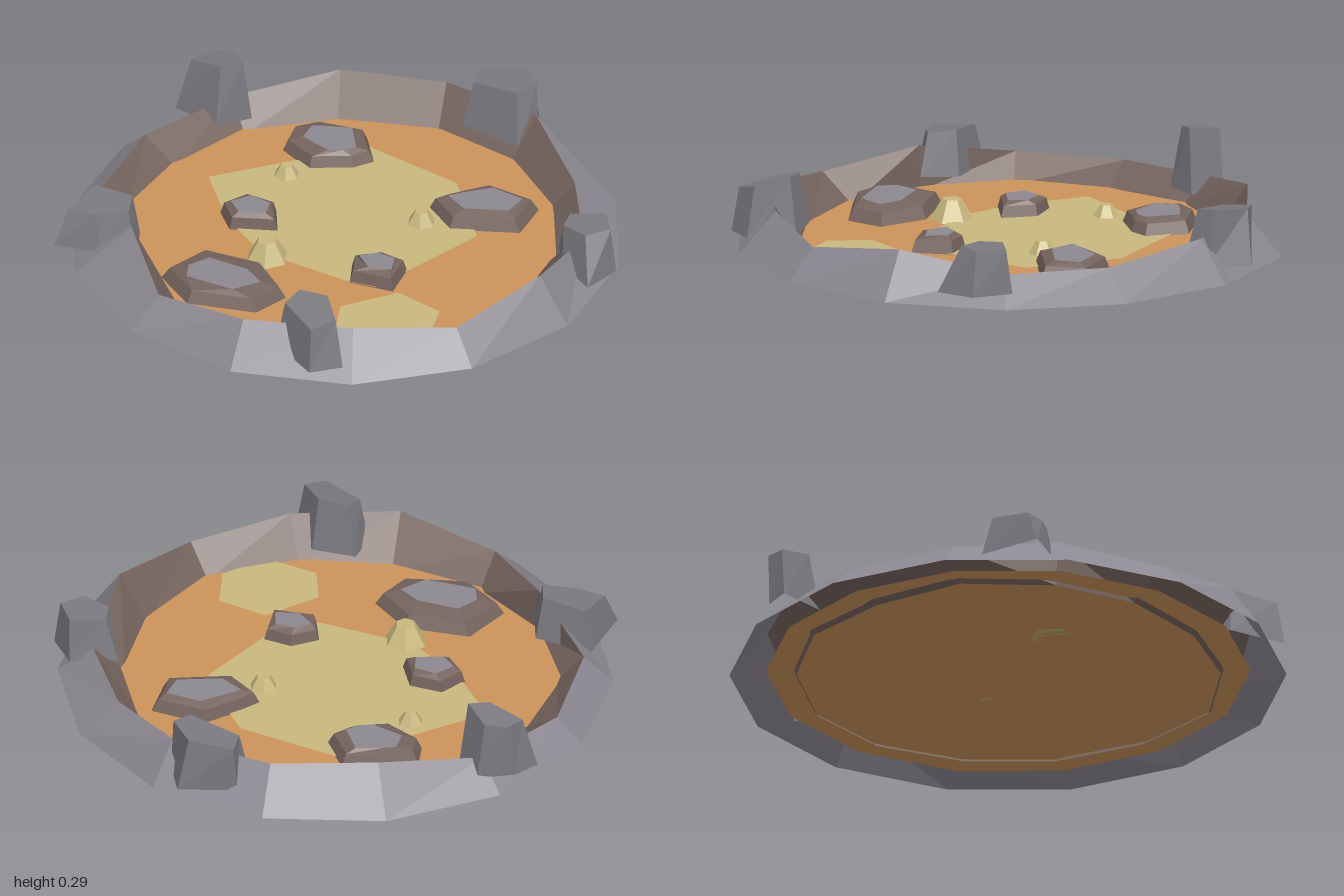
import * as THREE from 'three';

const mat = (name, color, side = THREE.FrontSide) => {
  const m = new THREE.MeshStandardMaterial({ color, side });
  m.name = name;
  return m;
};

// Flat-faced skin through matching rings of [x, y, z], optionally capped on top
function loft(rings, cap) {
  const pos = [];
  for (let k = 0; k + 1 < rings.length; k++) {
    const a = rings[k], b = rings[k + 1], n = a.length;
    for (let i = 0; i < n; i++) {
      const j = (i + 1) % n;
      pos.push(...a[i], ...b[i], ...a[j], ...a[j], ...b[i], ...b[j]);
    }
  }
  if (cap) {
    const t = rings[rings.length - 1], n = t.length;
    const c = [0, 1, 2].map(k => t.reduce((s, p) => s + p[k], 0) / n);
    for (let i = 0; i < n; i++) pos.push(...c, ...t[(i + 1) % n], ...t[i]);
  }
  const g = new THREE.BufferGeometry();
  g.setAttribute('position', new THREE.Float32BufferAttribute(pos, 3));
  g.computeVertexNormals();
  return g;
}

// Lay flat [x, z] points at a height, optionally shrunk around their middle
function lay(points, y, scale = 1) {
  const cx = points.reduce((s, p) => s + p[0], 0) / points.length;
  const cz = points.reduce((s, p) => s + p[1], 0) / points.length;
  return points.map(([x, z]) => [cx + (x - cx) * scale, y, cz + (z - cz) * scale]);
}

export function createModel() {
  const root = new THREE.Group();
  root.name = 'rockPool';
  const rimGrey = mat('rim grey', 0x8c8891, THREE.DoubleSide);
  const rockGrey = mat('rock grey', 0x7b7a80);
  const brown = mat('inner stone brown', 0x74635d, THREE.DoubleSide);
  const sand = mat('sand orange', 0xcc935a, THREE.DoubleSide);
  const olive = mat('pale olive', 0xc8b87e);
  const add = (name, geometry, material, parent = root) => {
    const m = new THREE.Mesh(geometry, material);
    m.name = name;
    parent.add(m);
    return m;
  };

  // Rim: regular outer foot, uneven crest, inner foot
  const CZ = 0.018, N = 14;
  const circle = (r, y) => Array.from({ length: N }, (_, i) => {
    const a = i / N * Math.PI * 2;
    return [Math.cos(a) * r, y, CZ + Math.sin(a) * r];
  });
  const crest = [
    [0.88, 0.17, 0.02], [0.8, 0.115, 0.41], [0.545, 0.155, 0.69], [0.2, 0.16, 0.885],
    [-0.19, 0.11, 0.875], [-0.49, 0.165, 0.64], [-0.8, 0.1, 0.41], [-0.9, 0.09, 0.02],
    [-0.8, 0.1, -0.36], [-0.535, 0.165, -0.66], [-0.19, 0.155, -0.835], [0.2, 0.155, -0.85],
    [0.53, 0.1, -0.645], [0.785, 0.1, -0.365]];
  const foot = lay([
    [0.765, 0.02], [0.71, 0.37], [0.47, 0.62], [0.16, 0.745], [-0.19, 0.755], [-0.48, 0.63],
    [-0.71, 0.37], [-0.755, 0.02], [-0.7, -0.31], [-0.48, -0.57], [-0.155, -0.735],
    [0.175, -0.73], [0.47, -0.57], [0.68, -0.31]], 0);
  add('rimOuterSlope', loft([circle(1, 0), crest]), rimGrey);
  add('rimInnerSlope', loft([crest, foot]), brown);

  // Sand floor and its two pale patches
  add('sandFloor', loft([circle(0.87, 0.015)], true), sand);
  const patches = [
    [[-0.615, 0.02], [-0.28, -0.49], [0.12, -0.485], [0.395, -0.245], [0.31, 0.25],
      [0.2, 0.28], [-0.155, 0.31], [-0.385, 0.21]],
    [[0.4, 0.23], [0.595, 0.24], [0.67, 0.41], [0.57, 0.57], [0.375, 0.57], [0.29, 0.43]]];
  for (const p of patches) add('sandPatch', loft([lay(p, 0.02)], true), olive);

  // Upright rocks on the rim: foot outline, top outline, top plane [height, x slope, z slope]
  const rocks = [
    { base: [[0.1, -1], [0.195, -0.87], [0.18, -0.77], [-0.07, -0.77], [-0.09, -0.9]],
      top: [[0.07, -0.97], [0.175, -0.89], [0.15, -0.81], [-0.05, -0.81], [-0.08, -0.91]],
      plane: [0.24, 0.15, -0.08] },
    { base: [[0.7, -0.33], [0.85, -0.42], [0.965, -0.32], [0.95, -0.17], [0.79, -0.23]],
      top: [[0.75, -0.33], [0.86, -0.4], [0.94, -0.32], [0.89, -0.235], [0.78, -0.25]],
      plane: [0.213, 0.05, 0] },
    { base: [[-0.81, -0.42], [-0.7, -0.35], [-0.77, -0.23], [-0.96, -0.24], [-0.92, -0.34]],
      top: [[-0.83, -0.4], [-0.725, -0.33], [-0.78, -0.27], [-0.92, -0.28], [-0.9, -0.36]],
      plane: [0.268, 0.2, 0] },
    { base: [[-0.77, 0.52], [-0.55, 0.51], [-0.48, 0.63], [-0.59, 0.7], [-0.75, 0.76]],
      top: [[-0.735, 0.54], [-0.57, 0.53], [-0.52, 0.62], [-0.62, 0.68], [-0.73, 0.7]],
      plane: [0.198, 0.08, -0.14] },
    { base: [[0.28, 0.69], [0.44, 0.66], [0.575, 0.79], [0.5, 0.89], [0.29, 0.81]],
      top: [[0.32, 0.71], [0.43, 0.69], [0.535, 0.78], [0.49, 0.865], [0.315, 0.79]],
      plane: [0.233, 0.02, -0.22] }];
  for (const { base, top, plane: [h, sx, sz] } of rocks) {
    const mx = top.reduce((s, p) => s + p[0], 0) / 5, mz = top.reduce((s, p) => s + p[1], 0) / 5;
    const lid = top.map(([x, z]) => [x, h + sx * (x - mx) + sz * (z - mz), z]);
    add('rimRock', loft([lay(base, 0.05), lid], true), rockGrey);
  }

  // Low stones on the sand: brown bevelled body with a grey top
  const stones = [
    { edge: [[-0.32, -0.535], [-0.2, -0.42], [-0.235, -0.345], [-0.36, -0.245], [-0.515, -0.29], [-0.555, -0.39], [-0.5, -0.475]],
      top: [[-0.35, -0.485], [-0.26, -0.39], [-0.285, -0.345], [-0.33, -0.315], [-0.455, -0.33], [-0.475, -0.41], [-0.44, -0.435]] },
    { edge: [[0.255, -0.51], [0.46, -0.525], [0.5, -0.36], [0.285, -0.225], [0.14, -0.295], [0.17, -0.365]],
      top: [[0.295, -0.47], [0.425, -0.475], [0.435, -0.38], [0.295, -0.295], [0.2, -0.33], [0.225, -0.375]] },
    { edge: [[-0.405, 0.07], [-0.28, 0.055], [-0.195, 0.16], [-0.345, 0.25], [-0.44, 0.18]],
      top: [[-0.365, 0.095], [-0.28, 0.095], [-0.25, 0.16], [-0.335, 0.21], [-0.4, 0.17]] },
    { edge: [[0.22, 0.09], [0.33, 0.085], [0.375, 0.23], [0.215, 0.275], [0.15, 0.175]],
      top: [[0.23, 0.13], [0.3, 0.12], [0.34, 0.19], [0.26, 0.225], [0.19, 0.185]] },
    { edge: [[-0.075, 0.4], [0.095, 0.495], [0.07, 0.64], [-0.165, 0.74], [-0.345, 0.655], [-0.31, 0.455]],
      top: [[-0.075, 0.5], [0.015, 0.54], [-0.035, 0.64], [-0.22, 0.67], [-0.26, 0.605], [-0.23, 0.52]] }];
  for (const { edge, top } of stones) {
    const stone = new THREE.Group();
    stone.name = 'flatStone';
    root.add(stone);
    const lid = lay(top, 0.075);
    add('stoneBody', loft([lay(edge, 0.015), lay(edge, 0.06, 0.87), lid]), brown, stone);
    add('stoneTop', loft([lid], true), rimGrey, stone);
  }

  // Small six-sided mounds
  for (const [x, z, r] of [[-0.4, -0.16, 0.05], [0.178, -0.2, 0.055], [-0.122, 0.32, 0.08]]) {
    const g = new THREE.CylinderGeometry(r * 0.45, r, r * 0.95, 6).toNonIndexed();
    g.computeVertexNormals();
    const mound = add('sandMound', g, olive);
    mound.position.set(x, 0.015 + r * 0.475, z);
    mound.rotation.y = Math.PI / 6;
  }
  return root;
}
